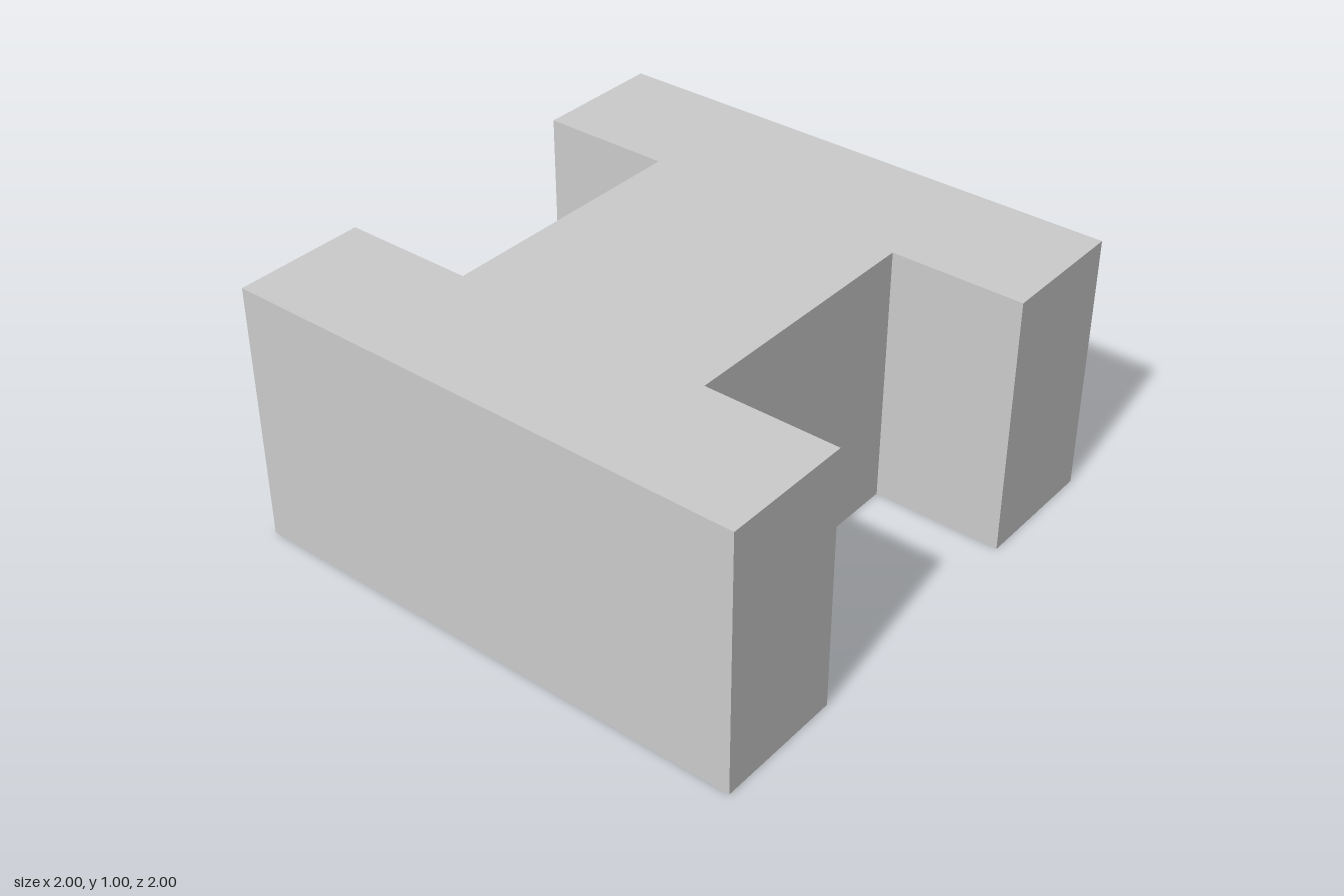
import * as THREE from 'three';

export function createModel() {
  const group = new THREE.Group();
  group.name = 'iBlock';

  // I-shaped plan: two wide flanges joined by a narrow web
  const half = 1, web = 0.5, flange = 0.5, height = 1;
  const side = [[half, -half], [half, -flange], [web, -flange], [web, flange], [half, flange], [half, half]];
  const mirrored = side.map(([x, y]) => [-x, -y]);
  const plan = new THREE.Shape([...side, ...mirrored].map(([x, y]) => new THREE.Vector2(x, y)));

  // Extrude the plan and lay it down so it rises along y
  const geometry = new THREE.ExtrudeGeometry(plan, { depth: height, bevelEnabled: false });
  geometry.rotateX(-Math.PI / 2);

  const material = new THREE.MeshStandardMaterial({ color: 0xcccccc, flatShading: true });
  const block = new THREE.Mesh(geometry, material);
  block.name = 'block';
  group.add(block);
  return group;
}
